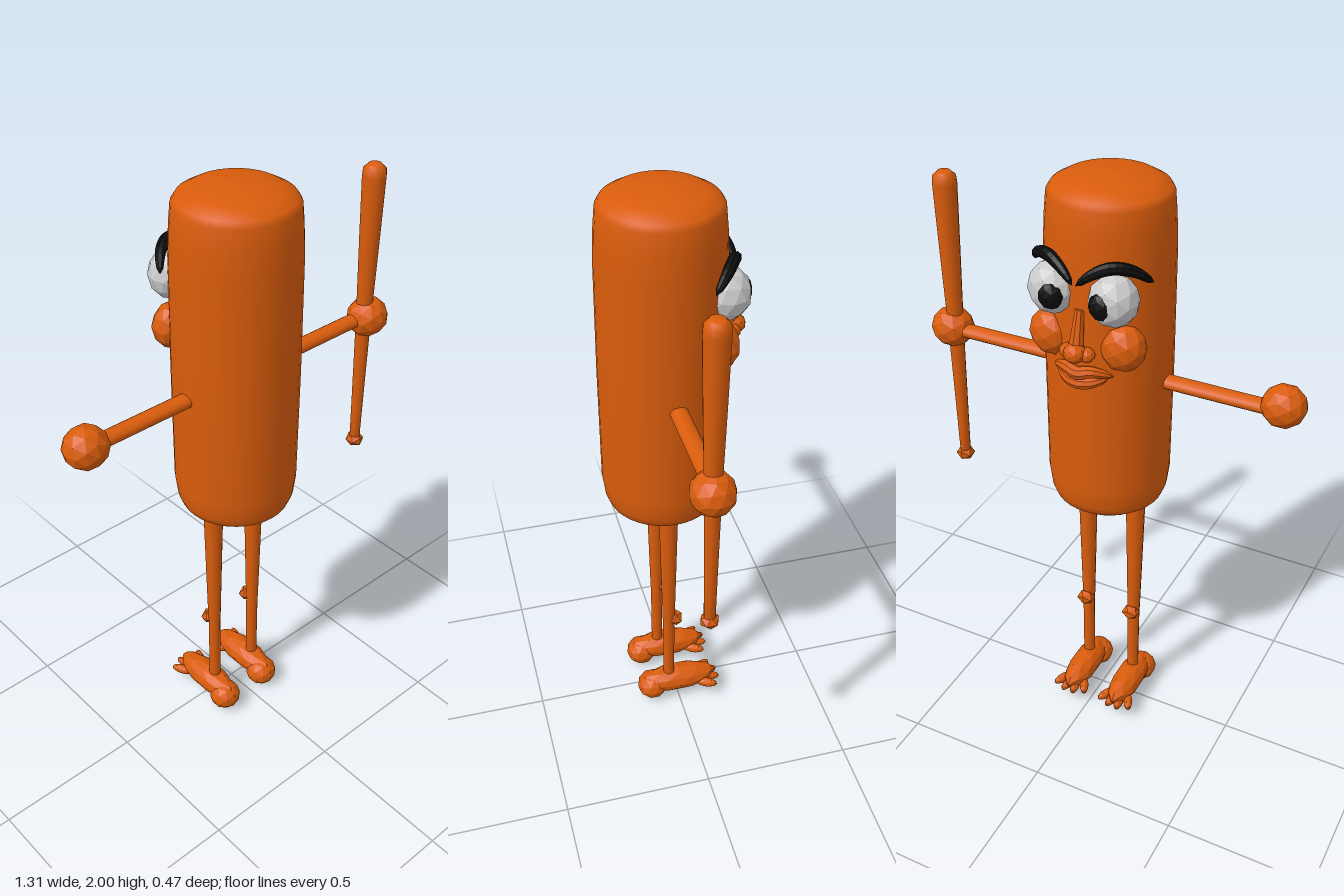
import * as THREE from 'three';

const orange = new THREE.MeshStandardMaterial({ color: 0xd95c0c });
const orangeFlat = new THREE.MeshStandardMaterial({ color: 0xd95c0c, flatShading: true });
const white = new THREE.MeshStandardMaterial({ color: 0xdddddd, flatShading: true });
const black = new THREE.MeshStandardMaterial({ color: 0x0c0c0c, flatShading: true });

const CX = -0.01, CZ = 0.032; // axis of the body

export function createModel() {
  const model = new THREE.Group();

  function add(name, geometry, material, x = 0, y = 0, z = 0, parent = model) {
    const mesh = new THREE.Mesh(geometry, material);
    mesh.name = name;
    mesh.position.set(x, y, z);
    parent.add(mesh);
    return mesh;
  }

  // Faceted ellipsoid with radii rx, ry, rz
  const blob = (rx, ry, rz, detail = 1) => new THREE.IcosahedronGeometry(1, detail).scale(rx, ry, rz);

  const lathe = (pairs, sides) =>
    new THREE.LatheGeometry(pairs.map(([r, y]) => new THREE.Vector2(r, y)), sides);

  // Tube along a smooth path, swelling in the middle and pointed at both ends
  function taperedTube(points, radius, power = 0.5) {
    const curve = new THREE.CatmullRomCurve3(points.map((p) => new THREE.Vector3(...p)));
    const rings = 14, sides = 8;
    const geometry = new THREE.TubeGeometry(curve, rings, radius, sides);
    const pos = geometry.attributes.position, v = new THREE.Vector3();
    for (let i = 0; i < pos.count; i++) {
      const t = Math.floor(i / (sides + 1)) / rings;
      const centre = curve.getPointAt(t);
      const k = Math.max(0.03, Math.pow(Math.max(0, Math.sin(Math.PI * t)), power));
      v.fromBufferAttribute(pos, i).sub(centre).multiplyScalar(k).add(centre);
      pos.setXYZ(i, v.x, v.y, v.z);
    }
    geometry.computeVertexNormals();
    return geometry;
  }

  // Body: tall capsule-like column with rounded rims
  add('body', lathe([
    [0, 0.87], [0.1, 0.873], [0.155, 0.885], [0.18, 0.905], [0.192, 0.935], [0.2, 1.0],
    [0.202, 1.4], [0.2, 1.78], [0.195, 1.88], [0.189, 1.945], [0.178, 1.963],
    [0.14, 1.985], [0.08, 1.996], [0, 2.0],
  ], 36), orange, CX, 0, CZ);

  // Arms and round hands
  for (const [side, s, handX, handY] of [['left', 1, 0.58, 1.358], ['right', -1, -0.587, 1.37]]) {
    const length = Math.abs(handX) - 0.15;
    const arm = new THREE.CylinderGeometry(0.022, 0.022, length, 12).rotateZ(Math.PI / 2).scale(1, 1, 1.35);
    add(side + 'Arm', arm, orange, s * (0.15 + length / 2), 1.358, 0.028);
    add(side + 'Hand', blob(0.073, 0.069, 0.069), orangeFlat, handX, handY, 0.037);
  }

  // Bat held upright in the left hand
  const bat = new THREE.Group();
  bat.name = 'bat';
  bat.position.set(0.567, 0, 0.033);
  model.add(bat);
  add('batShaft', lathe([
    [0, 0.85], [0.018, 0.86], [0.02, 1.0], [0.026, 1.36], [0.034, 1.65], [0.039, 1.86],
    [0.037, 1.885], [0.025, 1.895], [0.022, 1.9], [0, 1.902],
  ], 14), orange, 0, 0, 0, bat);
  add('batKnob', blob(0.033, 0.027, 0.033, 0), orangeFlat, 0, 0.856, 0, bat);

  // Legs, knees and feet
  for (const [side, x] of [['left', 0.072], ['right', -0.108]]) {
    const leg = new THREE.Group();
    leg.name = side + 'Leg';
    leg.position.set(x, 0, 0.032);
    model.add(leg);
    add('thigh', new THREE.CylinderGeometry(0.034, 0.022, 0.52, 12), orange, 0, 0.65, 0, leg);
    add('shin', new THREE.CylinderGeometry(0.021, 0.02, 0.32, 12), orange, 0, 0.24, 0, leg);
    add('knee', blob(0.034, 0.028, 0.028, 0), orangeFlat, 0, 0.388, -0.024, leg);
    add('heel', blob(0.056, 0.052, 0.054), orangeFlat, -0.006, 0.057, 0.062, leg);
    add('foot', blob(0.052, 0.05, 0.145), orangeFlat, -0.003, 0.077, -0.035, leg);
    for (const t of [-1, -0.33, 0.33, 1]) {
      const toe = add('toe', blob(0.016, 0.018, 0.042), orangeFlat,
        -0.003 + t * 0.043, 0.06, -0.155 + Math.abs(t) * 0.022, leg);
      toe.rotation.y = -t * 0.45;
    }
  }

  // Face, on the -z side: eyes, pupils, brows and cheeks mirrored about the body axis
  const face = new THREE.Group();
  face.name = 'face';
  face.position.x = CX;
  model.add(face);
  for (const [side, s] of [['left', 1], ['right', -1]]) {
    add(side + 'Eye', blob(0.077, 0.083, 0.073), white, s * 0.1, 1.69, -0.143, face);
    add(side + 'Pupil', blob(0.042, 0.046, 0.035), black, s * 0.084, 1.687, -0.188, face);
    add(side + 'Brow', taperedTube([
      [s * 0.195, 1.74, -0.08], [s * 0.155, 1.783, -0.125], [s * 0.1, 1.795, -0.16],
      [s * 0.045, 1.772, -0.185], [s * 0.005, 1.738, -0.2],
    ], 0.019, 0.4), black, 0, 0, 0, face);
    add(side + 'Cheek', blob(0.075, 0.078, 0.062), orangeFlat, s * 0.118, 1.53, -0.118, face);
    add(side + 'Nostril', blob(0.026, 0.024, 0.026), orangeFlat, s * 0.032, 1.515, -0.185, face);
  }

  // Nose
  const bridge = add('noseBridge', new THREE.CylinderGeometry(0.014, 0.026, 0.13, 8), orangeFlat,
    0, 1.585, -0.18, face);
  bridge.rotation.x = 0.2;
  add('noseTip', blob(0.035, 0.033, 0.036), orangeFlat, 0, 1.522, -0.2, face);

  // Lips wrapped around the body
  add('upperLip', taperedTube([
    [-0.1, 1.437, -0.142], [-0.04, 1.455, -0.178], [0, 1.447, -0.186], [0.04, 1.455, -0.178], [0.1, 1.437, -0.142],
  ], 0.021), orangeFlat, 0, 0, 0, face);
  add('lowerLip', taperedTube([
    [-0.085, 1.43, -0.148], [-0.04, 1.416, -0.174], [0, 1.412, -0.182], [0.04, 1.416, -0.174], [0.085, 1.43, -0.148],
  ], 0.02), orangeFlat, 0, 0, 0, face);

  return model;
}
